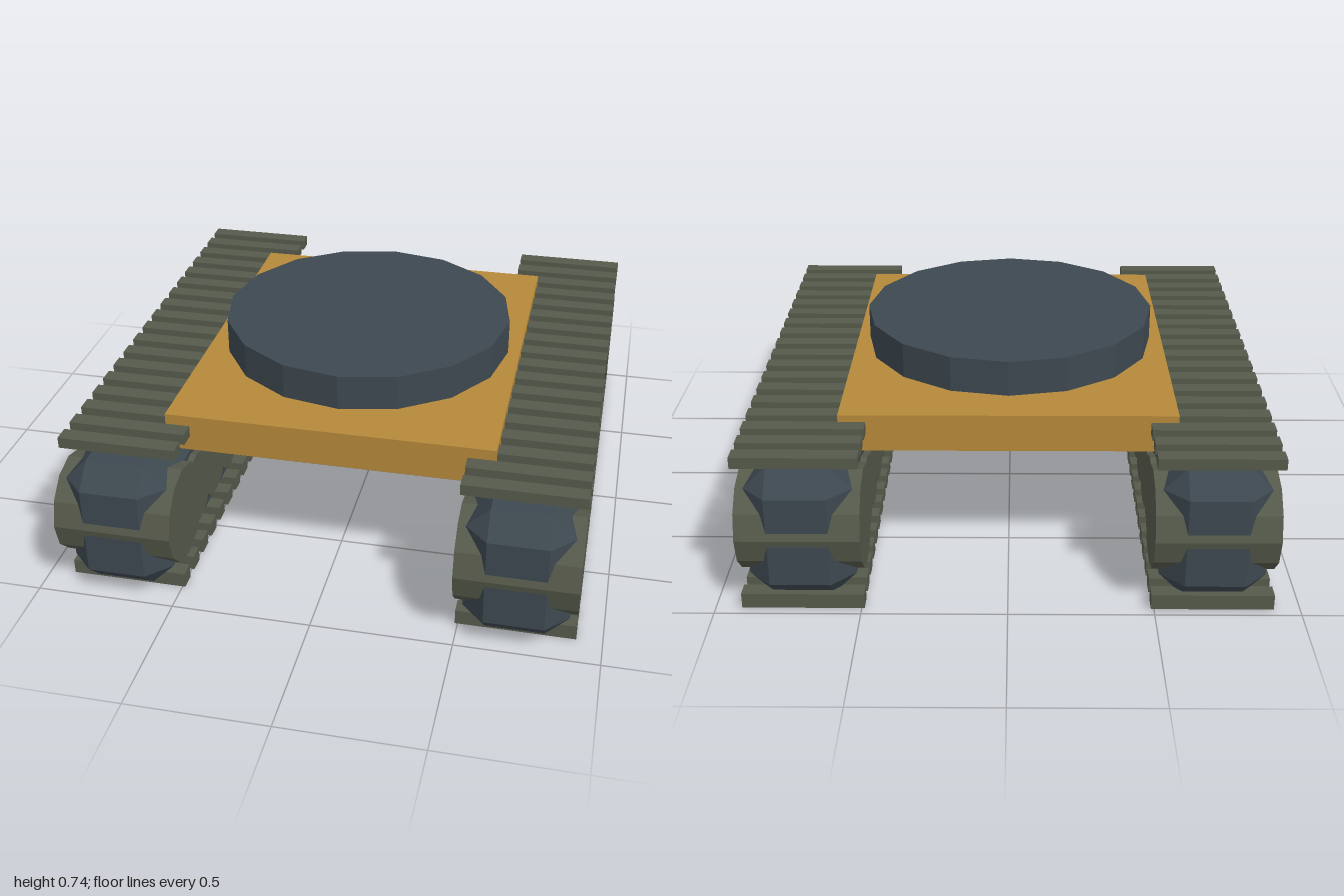
import * as THREE from 'three';
import { ConvexGeometry } from 'three/addons/geometries/ConvexGeometry.js';

const flat = (name, color) => {
  const m = new THREE.MeshStandardMaterial({ color, flatShading: true });
  m.name = name;
  return m;
};

// Box with every edge cut by a single 45 degree chamfer
function chamferBox(hx, hy, hz, c) {
  const pts = [];
  for (const x of [-1, 1]) for (const y of [-1, 1]) for (const z of [-1, 1]) {
    pts.push(new THREE.Vector3(x * hx, y * (hy - c), z * (hz - c)));
    pts.push(new THREE.Vector3(x * (hx - c), y * hy, z * (hz - c)));
    pts.push(new THREE.Vector3(x * (hx - c), y * (hy - c), z * hz));
  }
  return new ConvexGeometry(pts);
}

export function createModel() {
  const slate = flat('slate', 0x3d4850);
  const olive = flat('olive', 0x565a4b);
  const ochre = flat('ochre', 0xb5893a);
  const model = new THREE.Group();
  model.name = 'trackedChassis';

  const add = (parent, name, geometry, material, x, y, z) => {
    const mesh = new THREE.Mesh(geometry, material);
    mesh.name = name;
    mesh.position.set(x, y, z);
    parent.add(mesh);
  };

  // Deck and turntable
  add(model, 'deck', new THREE.BoxGeometry(1.17, 0.135, 1.4), ochre, 0, 0.5375, 0);
  add(model, 'turntable', new THREE.CylinderGeometry(0.54, 0.54, 0.13, 16), slate, 0, 0.67, 0);

  // Shared track geometry
  const hull = chamferBox(0.183, 0.244, 0.993, 0.08);
  const endWheel = new THREE.CylinderGeometry(0.18, 0.18, 0.42, 12).rotateZ(Math.PI / 2);
  const roadWheel = new THREE.CylinderGeometry(0.139, 0.139, 0.41, 12).rotateZ(Math.PI / 2);
  const topPad = new THREE.BoxGeometry(0.42, 0.04, 0.06);
  const bottomPad = new THREE.BoxGeometry(0.42, 0.055, 0.06);
  const axleY = 0.284;

  for (const side of [-1, 1]) {
    const track = new THREE.Group();
    track.name = side > 0 ? 'leftTrack' : 'rightTrack';
    track.position.x = side * 0.7;
    model.add(track);

    add(track, 'trackHull', hull, slate, 0, 0.274, 0);
    for (const end of [-1, 1]) add(track, 'endWheel', endWheel, olive, 0, axleY, end * 0.82);
    for (let i = 0; i < 8; i++) add(track, 'roadWheel', roadWheel, olive, 0, axleY, (i - 3.5) * 0.188);

    // Rows of tread pads, sitting slightly toward the rear
    for (let i = 0; i < 18; i++) {
      const z = -0.935 + i * 0.1053;
      add(track, 'topPad', topPad, olive, 0, 0.559, z);
      add(track, 'bottomPad', bottomPad, olive, 0, 0.0275, z);
    }
  }
  return model;
}
